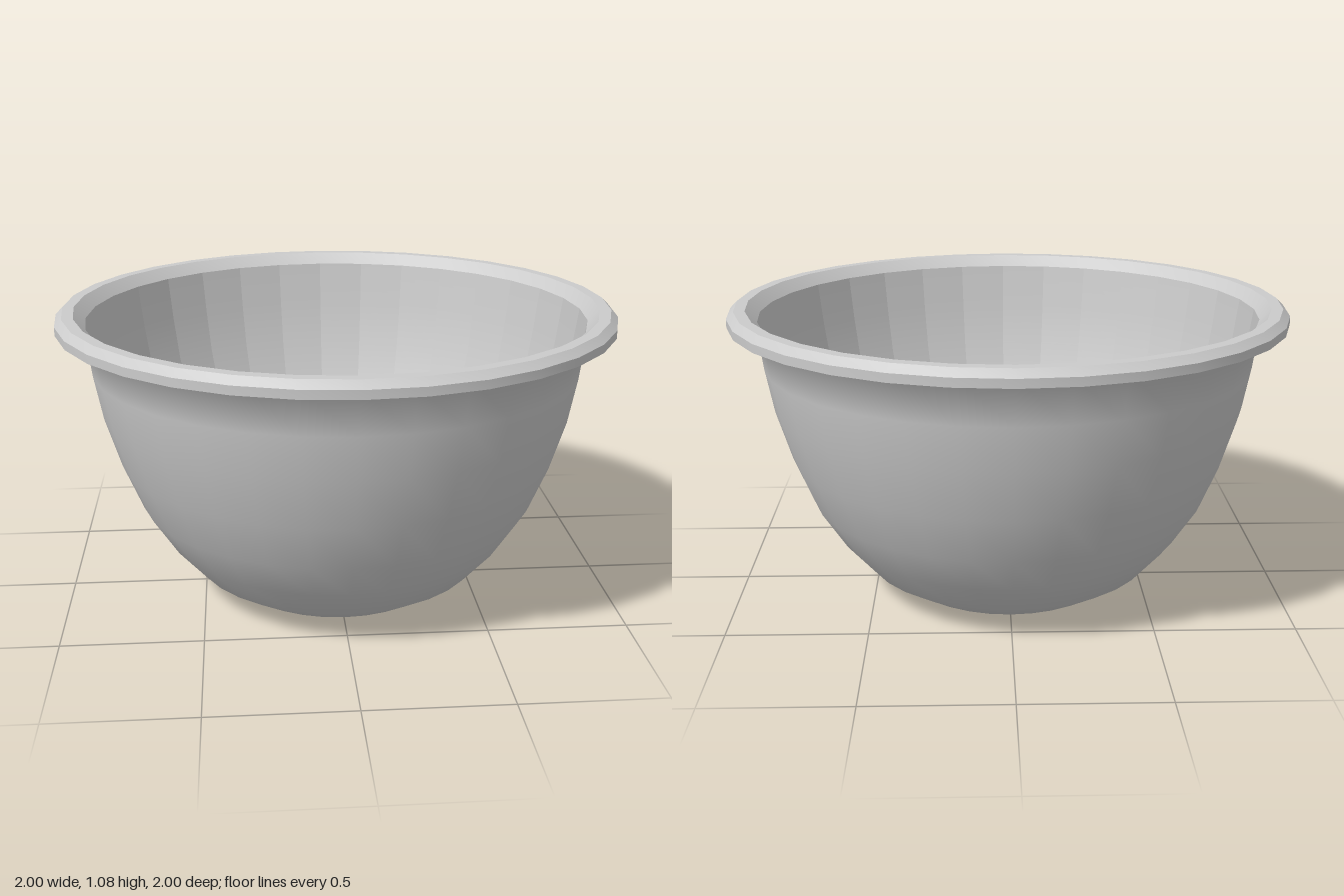
import * as THREE from 'three';
import { mergeGeometries, toCreasedNormals } from 'three/addons/utils/BufferGeometryUtils.js';

const SIDES = 32;
const material = new THREE.MeshStandardMaterial({ color: 0xcccccc });
const toPoints = (pairs) => pairs.map(([r, y]) => new THREE.Vector2(r, y));

// Wall curve from the edge of the base up to the rim
const wall = [
  [0.34, 0], [0.39, 0.015], [0.53, 0.1], [0.635, 0.22], [0.725, 0.36],
  [0.795, 0.53], [0.85, 0.71], [0.88, 0.87], [0.9, 1.025],
];

// Lathe that is smooth up the profile but flat around it, one panel per side
function panelledLathe(points) {
  const step = (Math.PI * 2) / SIDES;
  const panels = [];
  for (let i = 0; i < SIDES; i++) {
    const panel = new THREE.LatheGeometry(points, 1, i * step, step);
    const normal = panel.attributes.normal;
    const n = points.length;
    for (let j = 0; j < n; j++) {
      const a = new THREE.Vector3().fromBufferAttribute(normal, j);
      a.add(new THREE.Vector3().fromBufferAttribute(normal, j + n)).normalize();
      normal.setXYZ(j, a.x, a.y, a.z);
      normal.setXYZ(j + n, a.x, a.y, a.z);
    }
    panels.push(panel);
  }
  return mergeGeometries(panels);
}

export function createModel() {
  const group = new THREE.Group();
  group.name = 'mixingBowl';
  const add = (name, geometry) => {
    const mesh = new THREE.Mesh(geometry, material);
    mesh.name = name;
    group.add(mesh);
    return mesh;
  };

  // Outside: base, wall and underside of the rim
  add('outerShell', new THREE.LatheGeometry(toPoints([[0, 0], ...wall, [1, 1.025]]), SIDES));

  // Rim: outer edge, chamfer, flat top and sloping inner lip
  const rim = toPoints([[1, 1.025], [1, 1.055], [0.975, 1.08], [0.935, 1.08], [0.895, 1.04]]);
  add('rim', toCreasedNormals(new THREE.LatheGeometry(rim, SIDES), 0.5));

  // Inside wall, slightly within the outer one, from lip down to floor
  const inside = wall.slice(1, -1).reverse().map(([r, y]) => [r - 0.008, y + 0.008]);
  add('innerWall', panelledLathe(toPoints([[0.895, 1.04], ...inside, [0.337, 0.012]])));

  // Flat floor inside the bowl
  const floor = add('floor', new THREE.CircleGeometry(0.337, SIDES));
  floor.rotation.x = -Math.PI / 2;
  floor.position.y = 0.012;

  return group;
}
